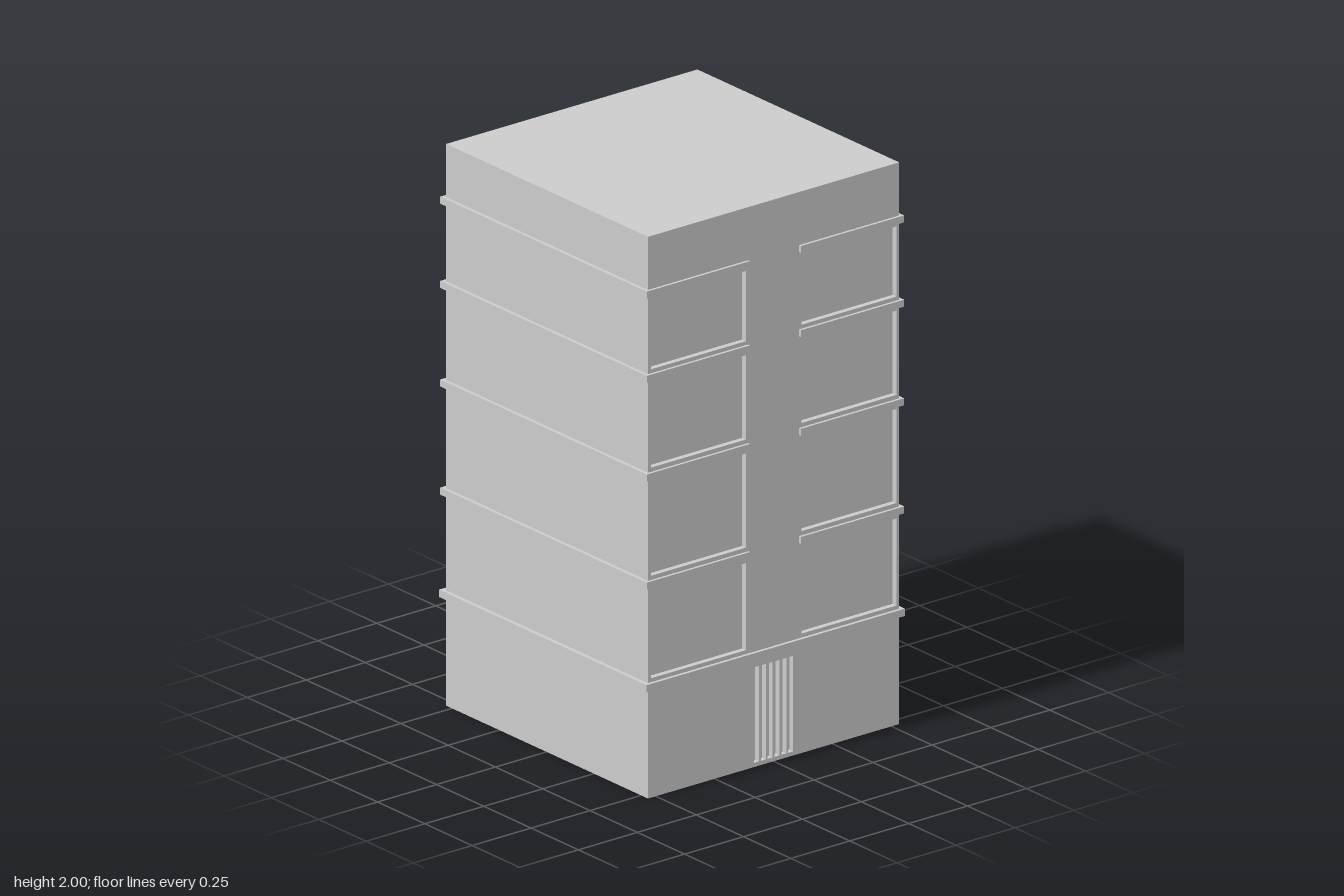
import * as THREE from 'three';

const H = 2, HALF = 0.533, BACK = -0.531, FACE = 0.536, RECESS = 0.02;

const mat = new THREE.MeshStandardMaterial({ color: 0xcccccc, flatShading: true });

function add(parent, name, geometry, x = 0, y = 0, z = 0) {
  const mesh = new THREE.Mesh(geometry, mat);
  mesh.name = name;
  mesh.position.set(x, y, z);
  parent.add(mesh);
  return mesh;
}

const polygon = (Type, pts) => new Type(pts.map(([x, y]) => new THREE.Vector2(x, y)));
const rect = (Type, x0, y0, x1, y1) => polygon(Type, [[x0, y0], [x1, y0], [x1, y1], [x0, y1]]);

// Horizontal slab from a plan outline
function slab(shape, height) {
  return new THREE.ExtrudeGeometry(shape, { depth: height, bevelEnabled: false }).rotateX(-Math.PI / 2);
}

export function createModel() {
  const building = new THREE.Group();
  building.name = 'building';

  // Main block behind the facade
  const coreFront = FACE - RECESS;
  add(building, 'mainBlock', new THREE.BoxGeometry(coreFront - BACK, H, HALF * 2),
    (coreFront + BACK) / 2, H / 2, 0);

  // Facade wall with window and door openings
  const wall = rect(THREE.Shape, -HALF, 0, HALF, H);
  const windowRows = [[0.425, 0.735], [0.79, 1.125], [1.175, 1.475], [1.525, 1.775]];
  for (const [y0, y1] of windowRows) {
    wall.holes.push(rect(THREE.Path, 0.118, y0, 0.521, y1));
    wall.holes.push(rect(THREE.Path, -0.521, y0, -0.118, y1));
  }
  const door = { half: 0.083, y0: 0.015, y1: 0.355 };
  wall.holes.push(rect(THREE.Path, -door.half, door.y0, door.half, door.y1));
  const wallGeo = new THREE.ExtrudeGeometry(wall, { depth: RECESS, bevelEnabled: false }).rotateY(Math.PI / 2);
  add(building, 'facadeWall', wallGeo, coreFront, 0, 0);

  // Vertical bars in the doorway
  const doorBars = new THREE.Group();
  doorBars.name = 'doorBars';
  building.add(doorBars);
  const doorHeight = door.y1 - door.y0;
  for (let i = -2; i <= 2; i++) {
    add(doorBars, 'doorBar', new THREE.BoxGeometry(RECESS, doorHeight, 0.008),
      coreFront + RECESS / 2, door.y0 + doorHeight / 2, i * 0.029);
  }

  // Continuous ledge above the ground floor
  add(building, 'groundFloorLedge', slab(rect(THREE.Shape, -0.55, -0.548, 0.548, 0.548), 0.026), 0, 0.385, 0);

  // Upper ledges, interrupted in the middle of the facade
  const r = 0.546, gap = 0.108, inner = FACE - 0.01;
  const outline = [[-r, -r], [r, -r], [r, -gap], [inner, -gap], [inner, gap], [r, gap], [r, r], [-r, r]];
  for (const y of [0.75, 1.135, 1.486, 1.786]) {
    add(building, 'upperLedge', slab(polygon(THREE.Shape, outline), 0.025), 0, y, 0);
  }

  return building;
}
